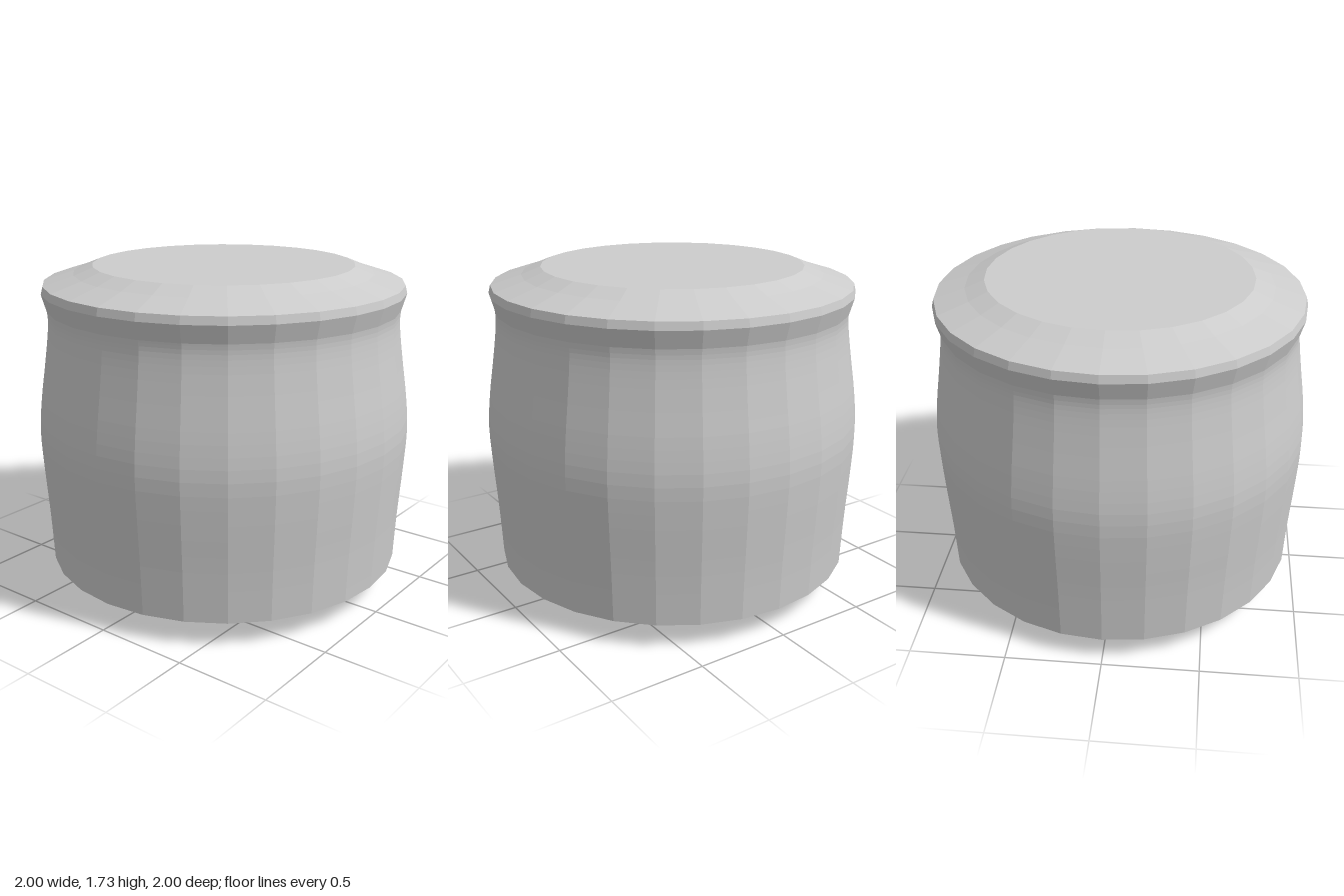
import * as THREE from 'three';

const SIDES = 28;

export function createModel() {
  const model = new THREE.Group();
  model.name = 'jar';

  const grey = new THREE.MeshStandardMaterial({ color: 0xcccccc, flatShading: true });
  grey.name = 'light grey';

  const toPoints = (list) => list.map(([r, y]) => new THREE.Vector2(r, y));

  // Faceted ring of surface turned around the vertical axis, profile from bottom to top
  function addTurned(name, points) {
    const mesh = new THREE.Mesh(new THREE.LatheGeometry(points, SIDES), grey);
    mesh.name = name;
    model.add(mesh);
  }

  // Base: flat foot, short bevel and shallow underside
  addTurned('base', toPoints([[0, 0], [0.59, 0], [0.675, 0.045], [0.85, 0.09], [0.96, 0.13]]));

  // Body: gentle belly narrowing to the neck
  const belly = new THREE.SplineCurve(toPoints([
    [0.96, 0.13], [0.973, 0.4], [0.99, 0.65], [1, 0.87], [0.985, 1.05],
    [0.96, 1.22], [0.939, 1.37], [0.931, 1.46], [0.934, 1.51],
  ]));
  addTurned('body', belly.getPoints(24));

  // Lid: flared rim, sloping shoulder and flat top
  addTurned('lid', toPoints([
    [0.934, 1.51], [0.96, 1.6], [0.95, 1.64], [0.79, 1.69], [0.69, 1.73], [0, 1.73],
  ]));

  return model;
}
